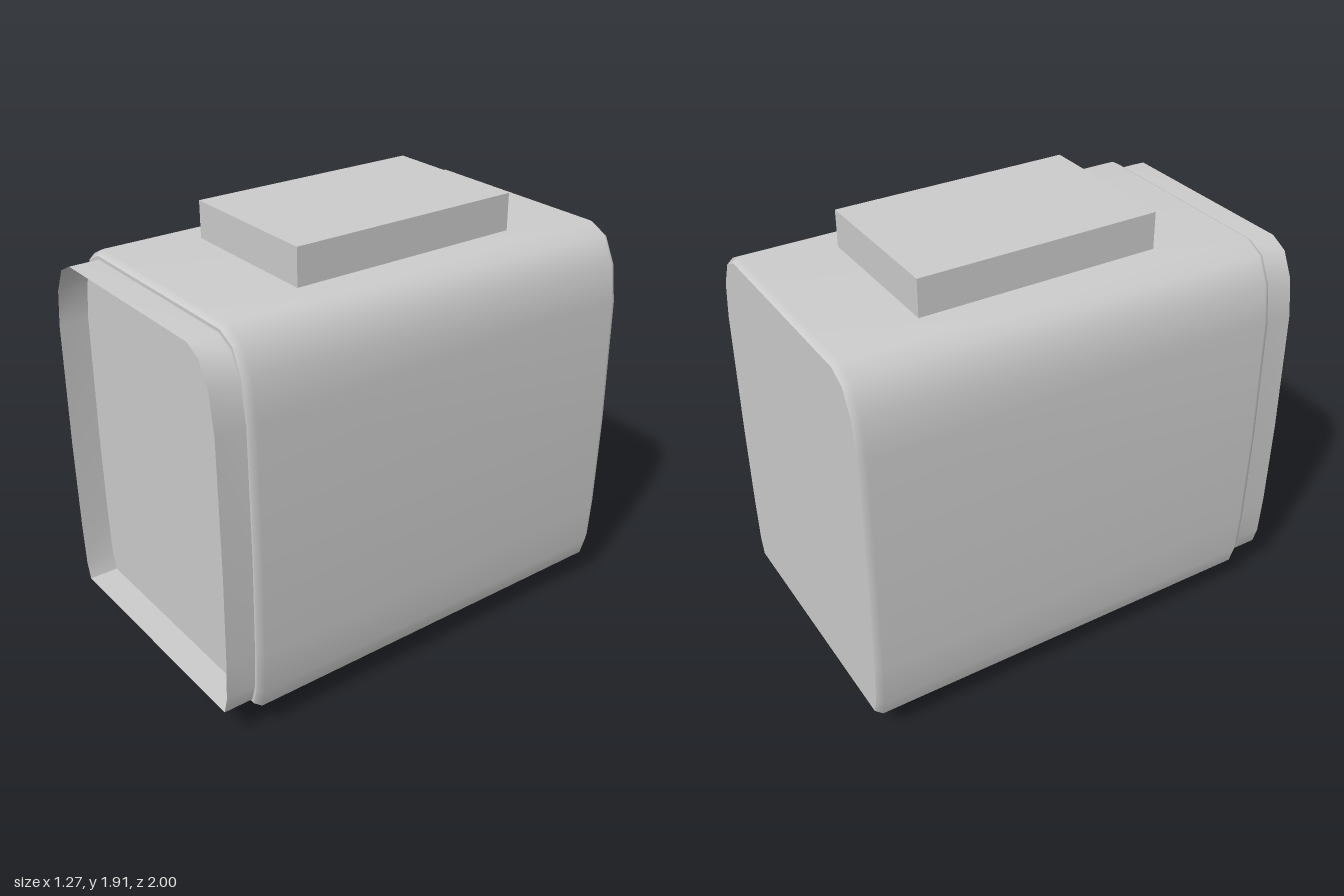
import * as THREE from 'three';

const grey = new THREE.MeshStandardMaterial({ color: 0xcccccc, side: THREE.DoubleSide });
grey.name = 'plain grey';

// Right half of the shell outline, from the bottom corner to the top edge
const half = [
  [0.59, 0.14], [0.613, 0.22], [0.625, 0.42], [0.633, 0.85],
  [0.626, 1.43], [0.6, 1.6], [0.545, 1.71], [0.465, 1.75],
];
const arch = [...half, ...half.map(([x, y]) => [-x, y]).reverse()];
const floorLine = [[-0.59, 0.14], [0.59, 0.14]];

// Scale an outline about the middle of the shell
const CENTRE = 0.945;
const scaled = (pts, sx, sy) => pts.map(([x, y]) => [x * sx, CENTRE + (y - CENTRE) * sy]);

// Smooth skin along z; each station is [z, x scale, y scale], front to back
function skin(outline, stations) {
  const pos = [], index = [], n = outline.length;
  for (const [z, sx, sy] of stations) {
    for (const [x, y] of scaled(outline, sx, sy)) pos.push(x, y, z);
  }
  for (let s = 0; s < stations.length - 1; s++) {
    for (let i = 0; i < n - 1; i++) {
      const a = s * n + i, b = a + n;
      index.push(a, b, a + 1, a + 1, b, b + 1);
    }
  }
  const g = new THREE.BufferGeometry();
  g.setAttribute('position', new THREE.Float32BufferAttribute(pos, 3));
  g.setIndex(index);
  g.computeVertexNormals();
  return g;
}

function panel(sx, sy) {
  return new THREE.ShapeGeometry(
    new THREE.Shape(scaled(arch, sx, sy).map(([x, y]) => new THREE.Vector2(x, y))));
}

export function createModel() {
  const model = new THREE.Group();
  model.name = 'case';
  const add = (name, geometry, x = 0, y = 0, z = 0) => {
    const mesh = new THREE.Mesh(geometry, grey);
    mesh.name = name;
    mesh.position.set(x, y, z);
    model.add(mesh);
    return mesh;
  };

  // Main shell with softened front and back edges
  const shell = [[0.87, 0.975, 0.978], [0.84, 1, 1]];
  const shellBack = [[-0.97, 1, 1], [-1, 0.975, 0.978]];
  add('shell', skin(arch, [...shell, ...shellBack]));
  add('shellBottom', skin(floorLine, [...shell, ...shellBack]));
  add('frontPanel', panel(0.975, 0.978), 0, 0, 0.87);
  add('backPanel', panel(0.975, 0.978), 0, 0, -1).rotation.y = Math.PI;

  // Thin open rim standing in front of the recessed panel
  const rim = [[1, 0.96, 0.96], [0.87, 0.96, 0.96]];
  add('frontRim', skin(arch, rim));
  add('frontRimFloor', skin(floorLine, rim));

  // Block on top
  add('topBlock', new THREE.BoxGeometry(0.68, 0.17, 1.06), 0, 1.825, -0.07);

  // Two mounting strips, each carrying two faceted feet
  const footShape = new THREE.Shape(
    [[-0.145, 0.14], [-0.11, 0.05], [0, 0], [0.11, 0.05], [0.145, 0.14]]
      .map(([x, y]) => new THREE.Vector2(x, y)));
  const footGeometry = new THREE.ExtrudeGeometry(footShape, { depth: 0.05, bevelEnabled: false });
  footGeometry.translate(0, 0, -0.025).rotateY(Math.PI / 2);
  for (const side of [-1, 1]) {
    add('footStrip', new THREE.BoxGeometry(0.11, 0.012, 1.25), side * 0.425, 0.141, -0.065);
    for (const z of [0.415, -0.54]) add('foot', footGeometry, side * 0.395, 0, z);
  }
  return model;
}
